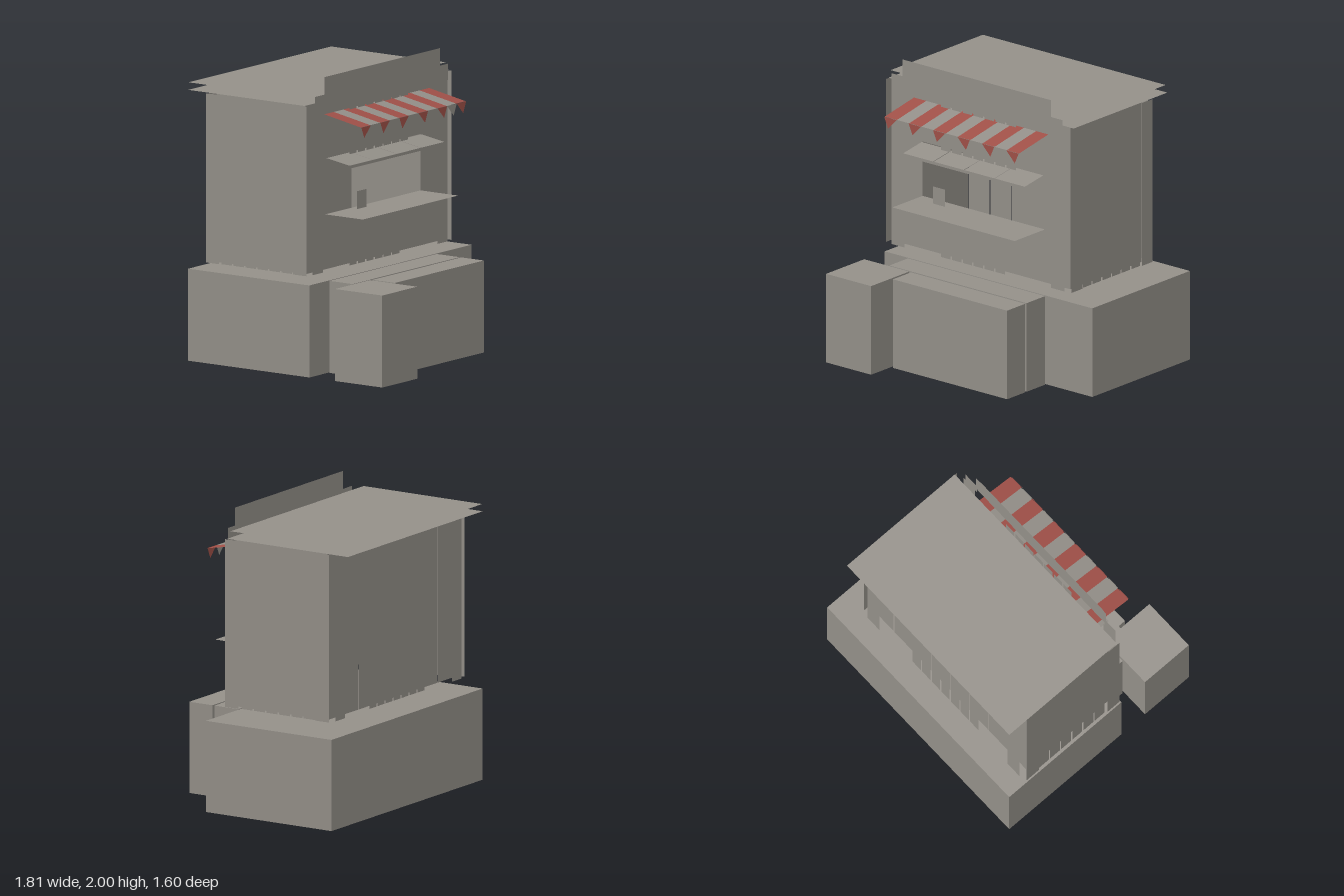
import * as THREE from 'three';

export function createModel() {
  const model = new THREE.Group();
  const mat = (name, color) => {
    const m = new THREE.MeshStandardMaterial({ color, side: THREE.DoubleSide });
    m.name = name;
    return m;
  };
  const grey = mat('warm grey', 0x949089);
  const red = mat('awning red', 0xa05048);

  const add = (name, geometry, material = grey) => {
    const mesh = new THREE.Mesh(geometry, material);
    mesh.name = name;
    model.add(mesh);
  };
  // Solid block from its bounds, standing on the ground
  const block = (name, x0, x1, z0, z1, h) =>
    add(name, new THREE.BoxGeometry(x1 - x0, h, z1 - z0).translate((x0 + x1) / 2, h / 2, (z0 + z1) / 2));
  // Upright sheet facing +z, or -z when it lies behind the middle
  const sheet = (name, x0, x1, y0, y1, z) => {
    const g = new THREE.PlaneGeometry(x1 - x0, y1 - y0);
    if (z < -0.235) g.rotateY(Math.PI);
    add(name, g.translate((x0 + x1) / 2, (y0 + y1) / 2, z));
  };
  // Upright sheet facing sideways
  const sideSheet = (name, z0, z1, y0, y1, x, dir) =>
    add(name, new THREE.PlaneGeometry(z1 - z0, y1 - y0).rotateY(dir * Math.PI / 2)
      .translate(x, (y0 + y1) / 2, (z0 + z1) / 2));
  // Level or pitched sheet running from its back edge to its front edge
  const slope = (name, x0, x1, zb, yb, zf, yf, material) => {
    const g = new THREE.BufferGeometry();
    g.setAttribute('position', new THREE.Float32BufferAttribute(
      [x0, yb, zb, x0, yf, zf, x1, yf, zf, x1, yb, zb], 3));
    g.setIndex([0, 1, 2, 0, 2, 3]);
    g.computeVertexNormals();
    add(name, g, material);
  };

  const bottom = 0.68, top = 1.82, midX = -0.1;

  // Base and steps
  block('base', -0.9, 0.9, -0.8, 0.2, 0.62);
  block('rearStep', -0.69, 0.5, 0.21, 0.4, 0.62);
  block('frontStep', -0.49, 0.5, 0.415, 0.6, 0.62);
  block('cornerBlock', -0.9, -0.51, 0.41, 0.8, 0.62);

  // Front wall with the serving opening
  const wall = new THREE.Shape();
  wall.moveTo(-0.85, bottom).lineTo(0.65, bottom).lineTo(0.65, top).lineTo(-0.85, top).closePath();
  const hole = new THREE.Path();
  hole.moveTo(-0.63, 1.05).lineTo(-0.63, 1.43).lineTo(0.43, 1.43).lineTo(0.43, 1.05).closePath();
  wall.holes.push(hole);
  add('frontWall', new THREE.ShapeGeometry(wall).translate(0, 0, 0.13));

  // Back wall of wide boards with narrow slits
  for (let i = 0; i < 8; i++) {
    const x = -0.85 + i * 0.1875;
    sheet('backBoard', x + 0.004, x + 0.1835, bottom, top, -0.6);
  }

  // Narrow boards on the front, above and below the opening, and on the back
  for (let i = 0; i < 7; i++) {
    const x = -0.43 + i * 0.095;
    sheet('upperFrontBoard', x, x + 0.082, 1.43, top, 0.18);
    if (i < 6) sheet('lowerFrontBoard', x, x + 0.082, bottom, 1.05, 0.18);
    sheet('backStrip', x, x + 0.082, bottom, top, -0.65);
  }

  // Corner posts, front and back
  for (const x of [-0.85, 0.535]) {
    sheet('frontPost', x, x + 0.115, bottom, top, 0.19);
    sheet('backPost', x, x + 0.115, bottom, top, -0.665);
  }

  // Side walls, mirrored
  for (const s of [-1, 1]) {
    const at = (d) => midX + s * d;
    sideSheet('sideWall', -0.6, 0.13, bottom, top, at(0.75), s);
    sideSheet('sideFrontPost', 0.07, 0.18, bottom, top, at(0.805), s);
    sideSheet('sideBackPost', -0.65, -0.54, bottom, top, at(0.805), s);
    for (let i = 0; i < 6; i++) {
      const z = -0.53 + i * 0.099;
      sideSheet('upperSideBoard', z, z + 0.088, 1.64, top, at(0.795), s);
      sideSheet('lowerSideBoard', z, z + 0.088, bottom, 1.11, at(0.795), s);
    }
    sideSheet('sideWindowFrame', -0.53, 0.065, 1.115, 1.605, at(0.795), s);
    sideSheet('sideWindow', -0.49, 0.025, 1.16, 1.59, at(0.81), s);
  }

  // Two roof sheets
  slope('lowerRoof', -0.9, 0.705, -0.8, 1.825, 0.16, 1.825);
  slope('upperRoof', -0.895, 0.69, -0.8, 1.875, 0.145, 1.875);

  // Fascia board and its ends
  sheet('fascia', -0.74, 0.545, 1.8, 2.0, 0.205);
  sheet('fasciaPanel', -0.71, 0.51, 1.835, 1.965, 0.216);
  sheet('fasciaEnd', -0.84, -0.73, 1.77, 1.88, 0.2);
  sheet('fasciaEnd', 0.53, 0.64, 1.77, 1.88, 0.2);

  // Counter, small card and raised hatch with its lip
  slope('counter', -0.63, 0.43, 0.13, 1.05, 0.44, 1.05);
  sheet('card', -0.44, -0.335, 1.07, 1.19, 0.25);
  for (let i = 0; i < 4; i++) {
    const x = -0.63 + i * 0.265;
    slope('hatchPanel', x, x + 0.26, 0.14, 1.43, 0.33, 1.4);
  }
  sheet('hatchLip', -0.62, 0.425, 1.38, 1.4, 0.33);

  // Striped awning with pennants hanging from its front edge
  const w = 1.165 / 11;
  for (let i = 0; i < 11; i++) {
    const x = -0.68 + i * w;
    const colour = i % 2 ? grey : red;
    slope('awningStripe', x, x + w, 0.16, 1.735, 0.46, 1.68, colour);
    const lean = (i < 5 ? -1 : 1) * 0.02;
    const flag = new THREE.Shape();
    flag.moveTo(x, 1.68).lineTo(x + w / 2 + lean, 1.605).lineTo(x + w, 1.68).closePath();
    add('pennant', new THREE.ShapeGeometry(flag).translate(0, 0, 0.465), colour);
  }

  return model;
}
